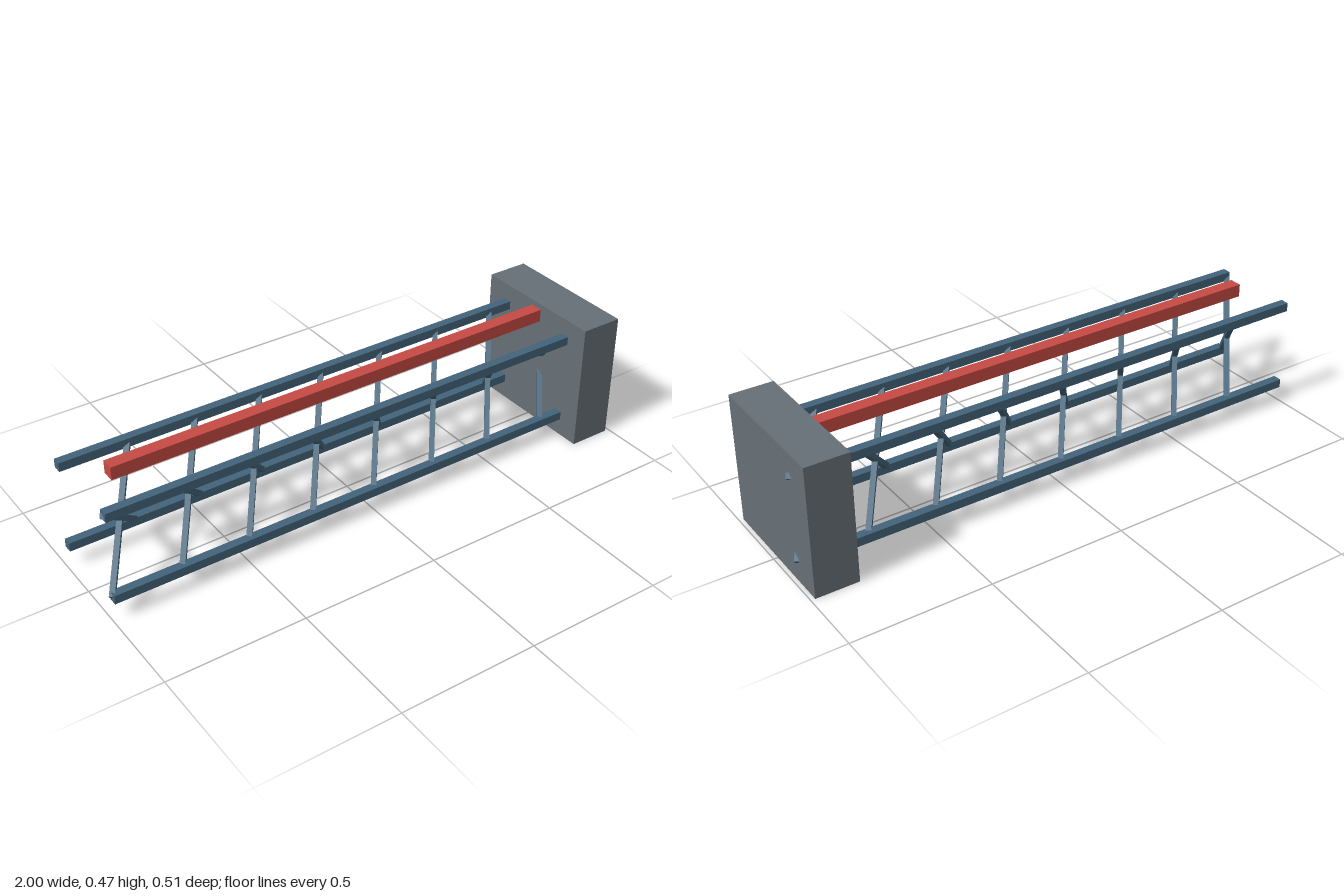
import * as THREE from 'three';

export function createModel() {
  const model = new THREE.Group();
  model.name = 'trussArm';

  const makeMaterial = (name, color) => {
    const m = new THREE.MeshStandardMaterial({ color });
    m.name = name;
    return m;
  };
  const steelBlue = makeMaterial('steelBlue', 0x43647a);
  const railRed = makeMaterial('railRed', 0xc64a43);
  const plateGrey = makeMaterial('plateGrey', 0x677077);

  const END = 0.989;       // half length of the truss
  const HALF = 0.158;      // half spacing of the chords
  const MID = 0.238;       // height of the truss axis
  const BAYS = 8;

  const addBox = (name, material, size, position) => {
    const mesh = new THREE.Mesh(new THREE.BoxGeometry(...size), material);
    mesh.name = name;
    mesh.position.set(...position);
    model.add(mesh);
    return mesh;
  };

  // Square bar between two points
  const addBar = (name, from, to, width) => {
    const middle = from.clone().add(to).multiplyScalar(0.5);
    const bar = addBox(name, steelBlue, [width, width, from.distanceTo(to)], middle.toArray());
    bar.lookAt(to);
  };

  // Mounting block at the left end
  addBox('mountingBlock', plateGrey, [0.155, 0.474, 0.513], [0.9075, 0.237, 0]);

  // Four long chords, running into the block
  for (const sy of [-1, 1]) {
    for (const sz of [-1, 1]) {
      addBox('chord', steelBlue, [0.95 + END, 0.032, 0.032],
        [(0.95 - END) / 2, MID + sy * HALF, sz * HALF]);
    }
  }

  // Crossing braces, from a front chord to the opposite back chord in each bay
  const bay = (2 * END) / BAYS;
  for (let i = 0; i < BAYS; i++) {
    const x = -END + i * bay;
    for (const s of [-1, 1]) {
      addBar('brace',
        new THREE.Vector3(x, MID + s * HALF, HALF),
        new THREE.Vector3(x + bay, MID - s * HALF, -HALF), 0.019);
    }
  }

  // Red rail along the top
  addBox('topRail', railRed, [1.78, 0.047, 0.047], [0, 0.4295, 0]);

  return model;
}
